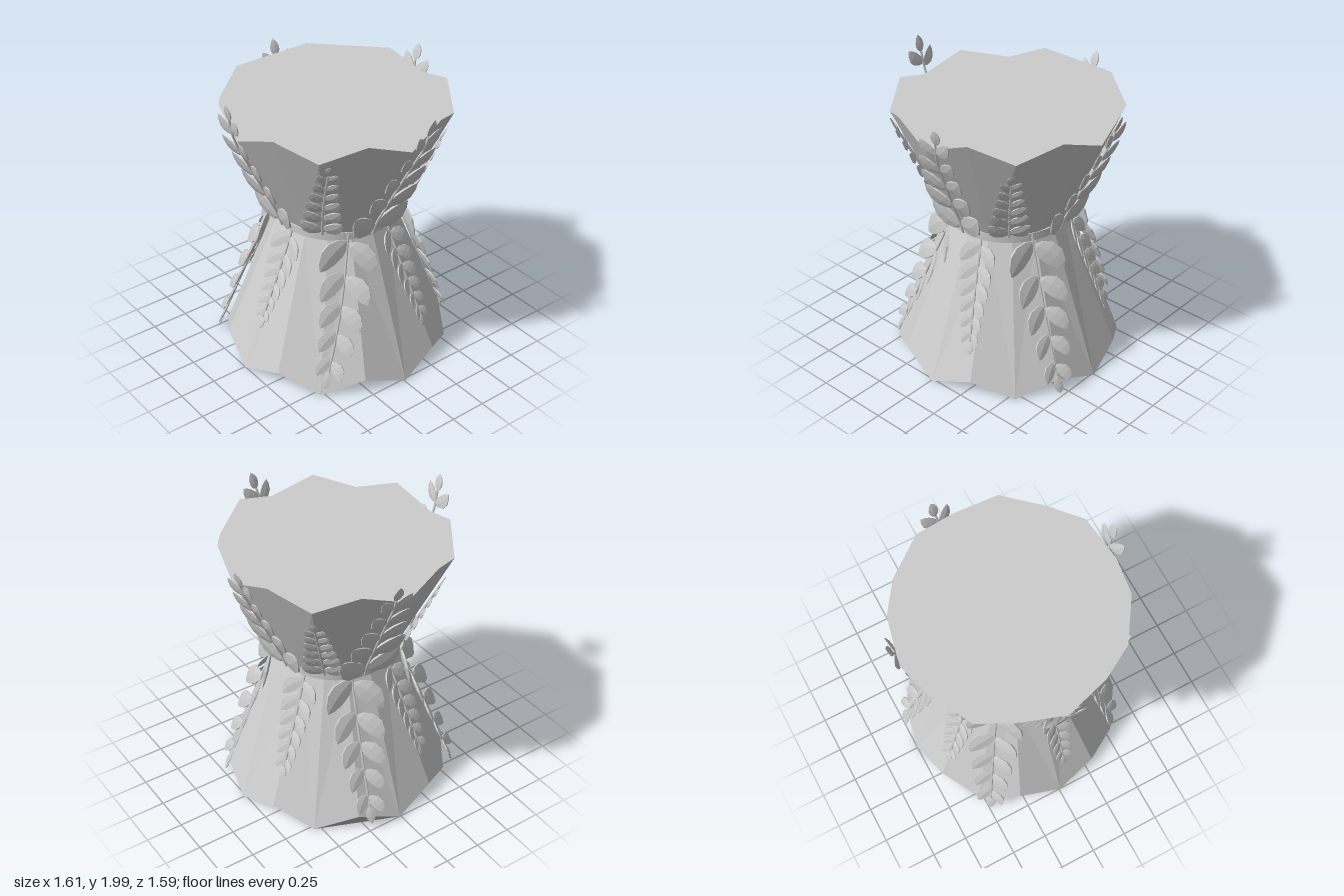
import * as THREE from 'three';

const stone = new THREE.MeshStandardMaterial({ color: 0xcccccc, side: THREE.DoubleSide });
stone.name = 'stone grey';

const N = 16;
const DEG = Math.PI / 180;
const at = (az, r, y) => new THREE.Vector3(r * Math.sin(az), y, r * Math.cos(az));

// Neck and zigzag rim rings of a sixteen-sided flare; even corners dip, odd corners peak
function rings({ neckR, neckY, outR, dipY, peakY }) {
  const neck = [], rim = [];
  for (let i = 0; i < N; i++) {
    const a = (i / N) * Math.PI * 2;
    neck.push(at(a, neckR, neckY));
    rim.push(at(a, i % 2 ? outR - 0.008 : outR, i % 2 ? peakY : dipY));
  }
  return { neck, rim };
}

function fromTriangles(tris, up) {
  const g = new THREE.BufferGeometry().setFromPoints(tris.flatMap(([a, b, c]) => (up ? [a, b, c] : [a, c, b])));
  g.computeVertexNormals();
  return g;
}

// Flared wall, with diagonals mirrored about each dip
function wall(spec, up) {
  const { neck, rim } = rings(spec);
  const tris = [];
  for (let i = 0; i < N; i++) {
    const j = (i + 1) % N;
    if (i % 2) tris.push([neck[i], neck[j], rim[j]], [neck[i], rim[j], rim[i]]);
    else tris.push([neck[i], neck[j], rim[i]], [neck[j], rim[j], rim[i]]);
  }
  return fromTriangles(tris, up);
}

// Cap over the zigzag rim, fanned from one corner and shaded as a level surface
function cap(spec, up, pivot) {
  const { rim } = rings(spec);
  const tris = [];
  for (let k = 1; k < N - 1; k++) tris.push([rim[pivot], rim[(pivot + k) % N], rim[(pivot + k + 1) % N]]);
  const g = fromTriangles(tris, up);
  const n = g.attributes.normal;
  for (let i = 0; i < n.count; i++) n.setXYZ(i, 0, up ? 1 : -1, 0);
  return g;
}

// Wall radius at a height, for laying sprigs on the surface
function wallRadius(y, up) {
  if (!up) return 0.4 + 0.36 * Math.min(1, Math.max(0, (0.99 - y) / 0.98));
  return y < 1.74 ? 0.4 + 0.485 * Math.max(0, y - 1.03) : 0.744 + 0.2 * (y - 1.74);
}

// Unit leaf: broad, pointed and thin, with a raised midrib; bow curves it sideways
function leafGeometry(bow) {
  const profile = [[0, 0], [0.17, 0.12], [0.28, 0.36], [0.27, 0.62], [0.15, 0.86], [0, 1]];
  const g = new THREE.LatheGeometry(profile.map(p => new THREE.Vector2(...p)), 6).scale(1, 1, 0.2).toNonIndexed();
  const p = g.attributes.position;
  for (let i = 0; i < p.count; i++) p.setX(i, p.getX(i) + bow * 4 * p.getY(i) * (1 - p.getY(i)));
  g.computeVertexNormals();
  return g;
}
const budGeo = leafGeometry(0);
const leafGeos = { '1': leafGeometry(0.09), '-1': leafGeometry(-0.09) };

function leaf(geo, origin, dir, normal, length, width) {
  const m = new THREE.Mesh(geo, stone);
  const x = new THREE.Vector3().crossVectors(dir, normal).normalize();
  const z = new THREE.Vector3().crossVectors(x, dir).normalize();
  m.quaternion.setFromRotationMatrix(new THREE.Matrix4().makeBasis(x, dir, z));
  m.position.copy(origin);
  m.scale.set(length * width, length, length);
  m.name = 'leaf';
  return m;
}

// Sprig: curved stem, paired leaves that shrink outward and a bud at the end
function sprig({ az0, az1, y0, y1, out = 0, pairs, big, small, bud }) {
  const up = y1 > y0;
  const g = new THREE.Group();
  g.name = up ? 'upperSprig' : 'lowerSprig';
  const end = y1 - (up ? 1 : -1) * bud * 0.92;
  const pts = [];
  for (let i = 0; i <= 8; i++) {
    const t = i / 8, y = y0 + (end - y0) * t;
    pts.push(at((az0 + (az1 - az0) * t) * DEG, wallRadius(y, up) + 0.014 + out * t, y));
  }
  const curve = new THREE.CatmullRomCurve3(pts);
  const stem = new THREE.Mesh(new THREE.TubeGeometry(curve, 16, 0.008, 5), stone);
  stem.name = 'stem';
  g.add(stem);

  const frame = t => {
    const p = curve.getPointAt(t), along = curve.getTangentAt(t);
    const side = new THREE.Vector3(p.z, 0, -p.x).normalize();
    const normal = new THREE.Vector3().crossVectors(side, along).normalize();
    if (normal.x * p.x + normal.z * p.z < 0) normal.negate();
    return { p, along, side, normal };
  };
  for (let i = 0; i < pairs; i++) {
    const k = i / (pairs - 1);
    for (const s of [-1, 1]) {
      const { p, along, side, normal } = frame(0.05 + 0.85 * Math.pow(k, 0.92) + (s > 0 ? 0.02 : 0));
      const spread = ((up ? 50 : 43) - 9 * k) * DEG;
      const dir = along.clone().multiplyScalar(Math.cos(spread))
        .addScaledVector(side, s * Math.sin(spread))
        .addScaledVector(normal, up ? 0.04 : 0.16).normalize();
      // each blade is rolled a little so its outer edge lifts
      const face = normal.clone().addScaledVector(along, up ? 0.2 : 0.3).normalize();
      g.add(leaf(leafGeos[up ? s : -s], p, dir, face, big + (small - big) * k, 1.08));
    }
  }
  const tip = frame(1);
  g.add(leaf(budGeo, tip.p, tip.along, tip.normal, bud, 1.1));
  return g;
}

export function createModel() {
  const model = new THREE.Group();
  const body = new THREE.Group();
  body.name = 'table';
  body.position.set(0.008, 0, 0.008);
  model.add(body);
  const add = (geo, name) => {
    const m = new THREE.Mesh(geo, stone);
    m.name = name;
    body.add(m);
    return m;
  };

  // Two flared halves joined by a waist band
  const upper = { neckR: 0.395, neckY: 1.03, outR: 0.748, dipY: 1.74, peakY: 1.84 };
  const lower = { neckR: 0.39, neckY: 1.0, outR: 0.76, dipY: 0.01, peakY: 0.11 };
  add(wall(upper, true), 'upperFlare');
  add(cap(upper, true, 7), 'tableTop');
  add(wall(lower, false), 'lowerFlare');
  add(cap(lower, false, 8), 'underside');
  add(new THREE.CylinderGeometry(0.405, 0.405, 0.055, 32), 'waistBand').position.y = 1.015;

  const large = { pairs: 5, big: 0.27, small: 0.15, bud: 0.12 };
  const little = { pairs: 6, big: 0.175, small: 0.095, bud: 0.09 };

  // Upper sprigs: start angle, end angle, tip height, extra stand-off at the tip
  for (const [az0, az1, y1, out] of [[-3, 8, 1.93, 0], [96, 98.5, 1.9, 0], [172, 174, 1.89, -0.015], [266, 269, 1.995, 0]])
    body.add(sprig({ ...large, az0, az1, y0: 1.0, y1, out }));
  for (const [az0, az1, y1] of [[-49, -41, 1.73], [42, 43, 1.65], [136, 135, 1.63], [219, 219, 1.65]])
    body.add(sprig({ ...little, az0, az1, y0: 1.04, y1 }));

  // Lower sprigs hanging from the waist
  for (const [az0, az1, y1, out] of [[334, 319, 0.07, 0.015], [63, 67, 0.02, 0.01], [160, 163, 0.07, 0.035], [230, 232, 0.01, 0.035]])
    body.add(sprig({ ...large, az0, az1, y0: 1.04, y1, out }));
  for (const [az0, az1, y1] of [[17, 20, 0.29], [117, 115, 0.32], [202, 203, 0.32], [280, 276, 0.34]])
    body.add(sprig({ ...little, az0, az1, y0: 1.0, y1, out: 0.03 }));

  return model;
}
